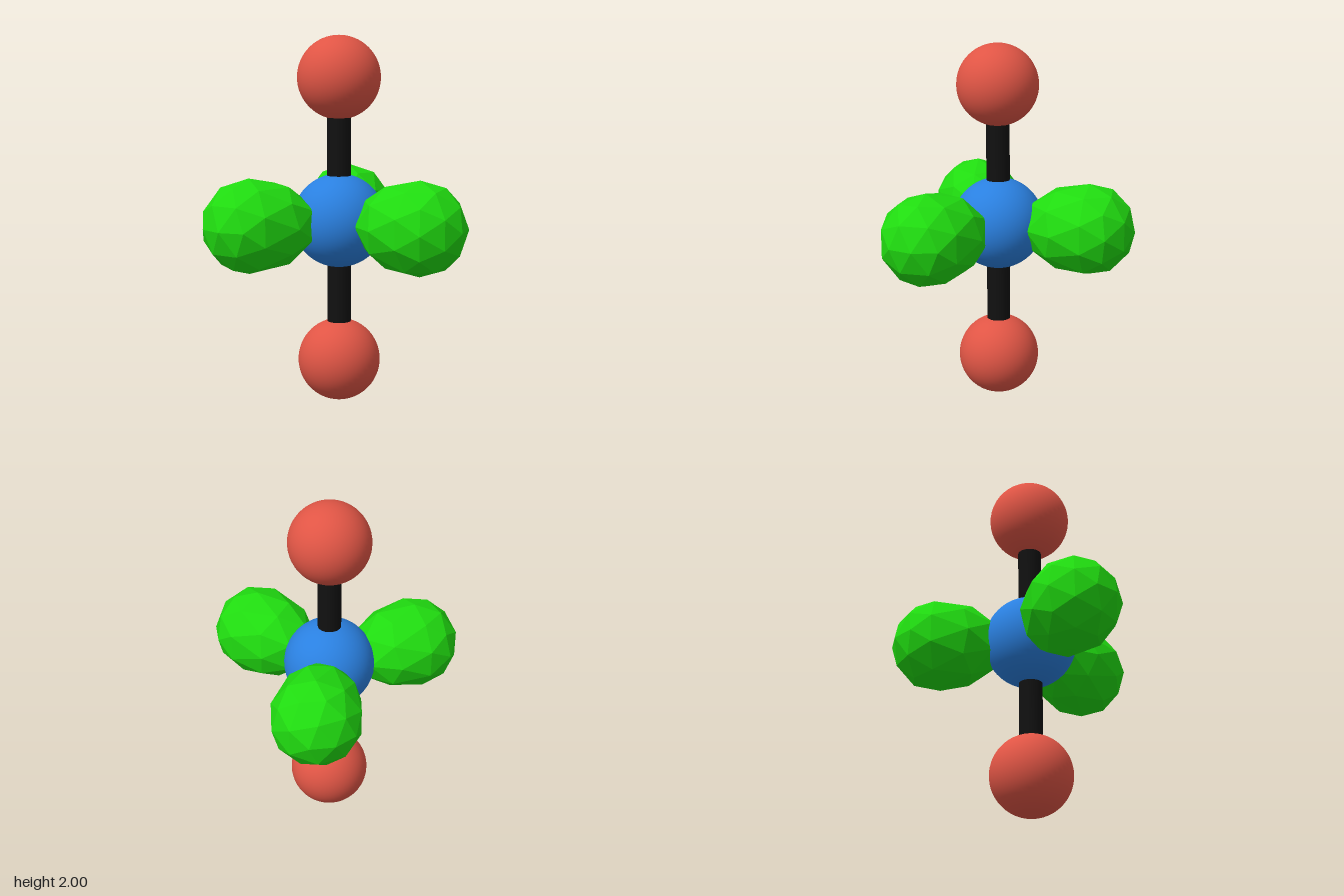
import * as THREE from 'three';

const R = 0.255; // core and lobe radius

function part(name, geometry, color, flatShading = false) {
  const mesh = new THREE.Mesh(geometry, new THREE.MeshStandardMaterial({ color, flatShading }));
  mesh.name = name;
  return mesh;
}

// Faceted egg pointing along +z, its inner half drawn out towards the core
function lobeGeometry() {
  const geo = new THREE.IcosahedronGeometry(R, 1);
  geo.rotateX(Math.atan(2 / (1 + Math.sqrt(5)))); // bring a corner onto the axis
  geo.rotateZ(Math.PI / 2);
  const pos = geo.attributes.position;
  for (let i = 0; i < pos.count; i++) {
    const z = pos.getZ(i);
    pos.setZ(i, (z < 0 ? 1.5 * z : z) + 0.52);
  }
  geo.computeVertexNormals();
  return geo;
}

export function createModel() {
  const model = new THREE.Group();
  model.name = 'molecule';

  // Everything is arranged around the core
  const body = new THREE.Group();
  body.name = 'atoms';
  body.position.set(-0.007, 1, 0.13);
  model.add(body);

  body.add(part('coreAtom', new THREE.SphereGeometry(R, 48, 32), 0x2a80e0));

  // Axial bonds and end atoms
  for (const [side, s] of [['upper', 1], ['lower', -1]]) {
    const bond = part(side + 'Bond', new THREE.CylinderGeometry(0.065, 0.065, 0.6, 32), 0x111111);
    bond.position.y = s * 0.4;
    const atom = part(side + 'Atom', new THREE.SphereGeometry(0.225, 48, 32), 0xe05545);
    atom.position.y = s * 0.775;
    body.add(bond, atom);
  }

  // Three lobes around the equator
  const lobe = lobeGeometry();
  ['backLobe', 'rightLobe', 'leftLobe'].forEach((name, i) => {
    const mesh = part(name, lobe, 0x20dc10, true);
    mesh.rotation.y = Math.PI + (i * 2 * Math.PI) / 3;
    body.add(mesh);
  });

  return model;
}
